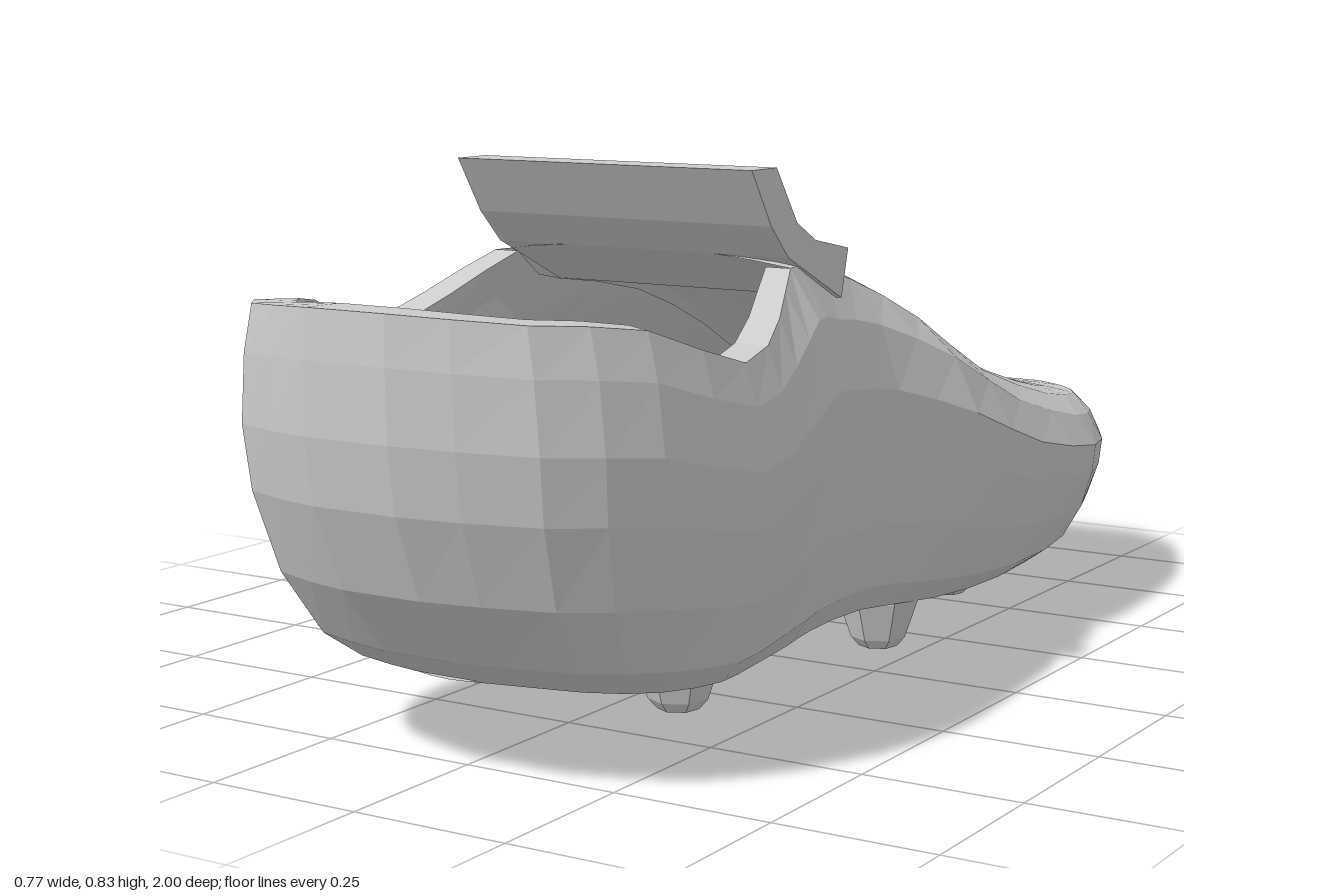
import * as THREE from 'three';

// Key stations from toe to heel: z, left half-width, right half-width, sole y, top y, crown, rim width factor
const KEYS = [
  [-1, 0.09, 0.16, 0.125, 0.335, 0, 0.9],
  [-0.96, 0.17, 0.24, 0.12, 0.34, 0.005, 0.88],
  [-0.88, 0.25, 0.295, 0.107, 0.354, 0.018, 0.83],
  [-0.68, 0.33, 0.338, 0.088, 0.402, 0.04, 0.72],
  [-0.42, 0.345, 0.352, 0.075, 0.485, 0.05, 0.67],
  [-0.2, 0.33, 0.353, 0.081, 0.6, 0.05, 0.66],
  [0, 0.29, 0.348, 0.098, 0.682, 0.05, 0.69],
  [0.2, 0.32, 0.347, 0.11, 0.708, 0.04, 0.75],
  [0.3, 0.345, 0.352, 0.112, 0.7, 0.02, 0.77],
  [0.42, 0.365, 0.368, 0.112, 0.622, 0, 0.87],
  [0.57, 0.383, 0.383, 0.114, 0.58, 0, 0.92],
  [0.77, 0.35, 0.35, 0.122, 0.645, 0, 0.92],
  [0.92, 0.255, 0.25, 0.132, 0.662, 0, 0.92],
  [1, 0.07, 0.07, 0.138, 0.675, 0, 0.95],
];

// Smooth in-between station after each key
const STATIONS = KEYS.flatMap((key, i) => {
  if (i === KEYS.length - 1) return [key];
  const before = KEYS[Math.max(i - 1, 0)];
  const next = KEYS[i + 1];
  const after = KEYS[Math.min(i + 2, KEYS.length - 1)];
  return [key, key.map((v, k) => (9 * (v + next[k]) - before[k] - after[k]) / 16)];
});

// Levels from sole to rim: height fraction, width factor, heel end z, toe end z
const LEVELS = [
  [0, 0.77, 0.79, -0.82],
  [0.08, 0.87, 0.855, -0.89],
  [0.27, 0.94, 0.935, -0.96],
  [0.5, 0.985, 0.985, -0.995],
  [0.68, 1, 1, -1],
  [0.87, null, 1, -0.985],
  [1, null, 0.995, -0.965],
];

function wallPoint(station, level, side) {
  const [z, left, right, sole, top, crown, rim] = station;
  const [f, w, heelZ, toeZ] = LEVELS[level];
  const width = w ?? (level === 5 ? 1 - 0.375 * (1 - rim) : rim);
  let pz = z;
  if (z > 0.5) pz = 0.5 + (z - 0.5) * (heelZ - 0.5) * 2;
  if (z < -0.5) pz = -0.5 + (z + 0.5) * (-0.5 - toeZ) * 2;
  return new THREE.Vector3(side > 0 ? left * width : -right * width,
    sole + (top - crown - sole) * f, pz);
}

// Loop running toe to heel on the left, then heel to toe on the right
function ring(level, from = 0) {
  const s = STATIONS.slice(from);
  return [...s.map((p) => wallPoint(p, level, 1)),
    ...s.reverse().map((p) => wallPoint(p, level, -1))];
}

// Same loop, moved inward by the wall thickness
function innerRing(level, from) {
  return ring(level, from).map((p) => {
    p.x *= 0.84;
    if (p.z < 0.29) p.y -= 0.04;
    if (p.z > 0.5) p.z = 0.5 + (p.z - 0.5) * 0.88;
    if (level === 1) p.y += 0.04;
    return p;
  });
}

// Rows crossing from one side of a loop to the other
function bridge(loop, steps, crown = () => 0) {
  const half = loop.length / 2;
  return Array.from({ length: steps + 1 }, (_, j) => {
    const u = j / steps;
    return loop.slice(0, half).map((a, i) => {
      const p = a.clone().lerp(loop[loop.length - 1 - i], u);
      p.y += crown(i) * (1 - (2 * u - 1) ** 2);
      return p;
    });
  });
}

const material = new THREE.MeshStandardMaterial({
  color: 0xcccccc, flatShading: true, side: THREE.DoubleSide,
});

function loft(name, rows, closed = false) {
  const cols = rows[0].length;
  const index = [];
  for (let r = 0; r < rows.length - 1; r++) {
    for (let c = 0; c < (closed ? cols : cols - 1); c++) {
      const d = (c + 1) % cols;
      const a = r * cols + c, b = r * cols + d;
      index.push(a, a + cols, b, b, a + cols, b + cols);
    }
  }
  const geometry = new THREE.BufferGeometry().setFromPoints(rows.flat());
  geometry.setIndex(index);
  geometry.computeVertexNormals();
  const mesh = new THREE.Mesh(geometry, material);
  mesh.name = name;
  return mesh;
}

export function createModel() {
  const shoe = new THREE.Group();
  shoe.name = 'studdedShoe';
  const collar = STATIONS.findIndex((s) => s[0] > 0.29);
  const liningStart = STATIONS.findIndex((s) => s[0] > -0.43);

  // Outer wall, sole and domed top of the forefoot
  shoe.add(loft('outerWall', LEVELS.map((_, i) => ring(i)), true));
  shoe.add(loft('sole', bridge(ring(0), 4, () => -0.004).reverse()));
  const vamp = bridge(ring(6), 8, (i) => STATIONS[i][5]).map((row) => row.slice(0, collar + 1));
  shoe.add(loft('vamp', vamp));

  // Rim of the opening, lining and footbed
  shoe.add(loft('collarRim', [ring(6, collar), innerRing(6, collar)]));
  shoe.add(loft('lining', [6, 5, 4, 3, 2, 1].map((l) => innerRing(l, liningStart))));
  shoe.add(loft('footbed', bridge(innerRing(1, liningStart), 4)));

  // Tongue: side profile in (z, y), extruded across the shoe
  const profile = [[0.14, 0.62], [0.3, 0.695], [0.35, 0.745], [0.405, 0.83],
    [0.335, 0.83], [0.275, 0.745], [0.22, 0.715], [0.12, 0.695]];
  const shape = new THREE.Shape(profile.map(([z, y]) => new THREE.Vector2(-z, y)));
  const tongueGeometry = new THREE.ExtrudeGeometry(shape, { depth: 0.525, bevelEnabled: false });
  tongueGeometry.translate(0, 0, -0.2625).rotateY(Math.PI / 2);
  const tongue = new THREE.Mesh(tongueGeometry, material);
  tongue.name = 'tongue';
  shoe.add(tongue);

  // Four pairs of studs: z, x, tip y
  const studGeometry = new THREE.LatheGeometry([
    [0, 0], [0.032, 0.004], [0.046, 0.02], [0.068, 0.085], [0.068, 0.11],
  ].map(([r, y]) => new THREE.Vector2(r, y)), 7);
  for (const [z, x, y] of [[0.46, 0.17, 0.035], [-0.14, 0.18, 0], [-0.485, 0.13, 0.015], [-0.78, 0.165, 0.055]]) {
    for (const side of [1, -1]) {
      const stud = new THREE.Mesh(studGeometry, material);
      stud.name = side > 0 ? 'leftStud' : 'rightStud';
      stud.position.set(side * x, y, z);
      shoe.add(stud);
    }
  }
  return shoe;
}
